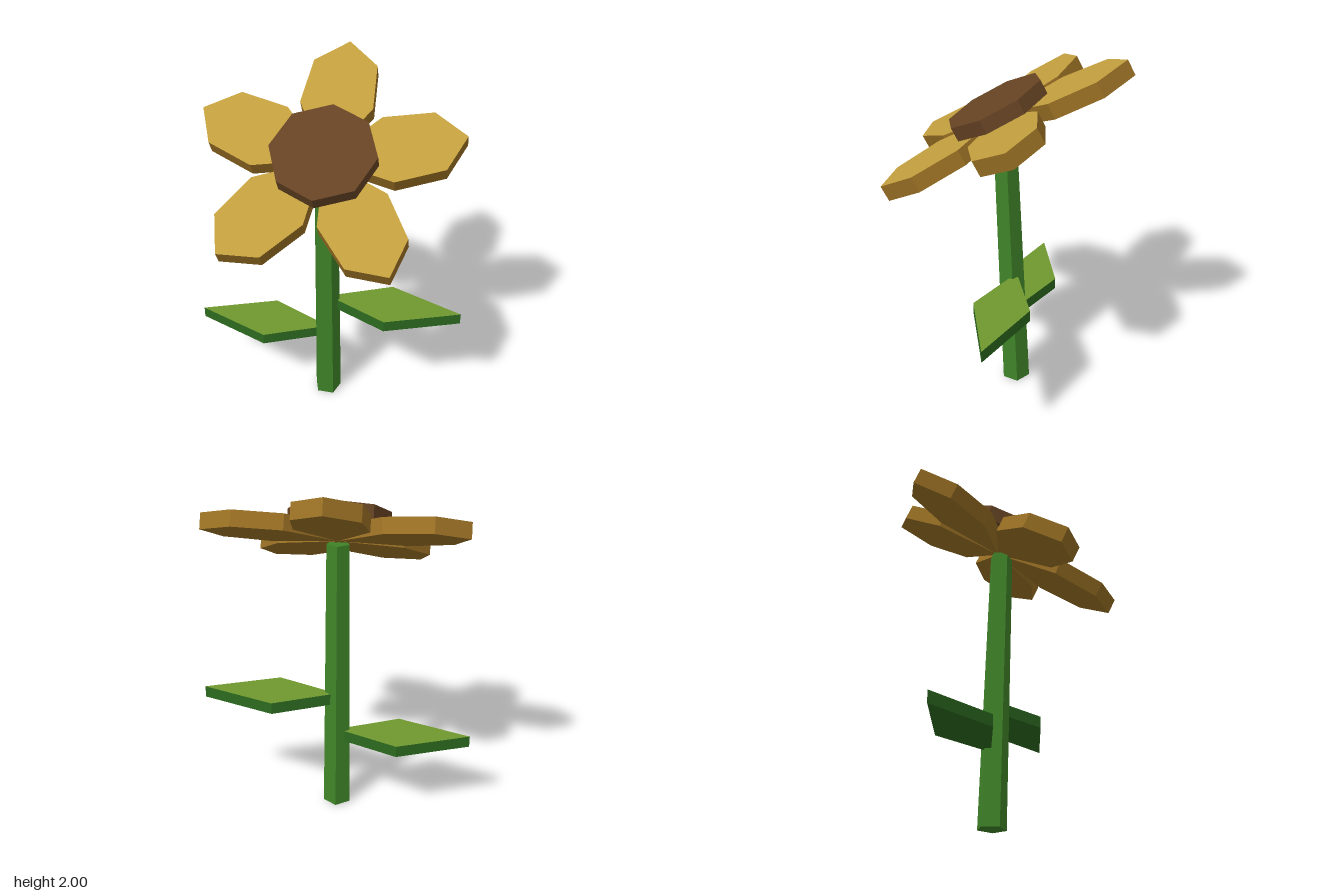
import * as THREE from 'three';

const paint = (color) => new THREE.MeshStandardMaterial({ color, flatShading: true });

// Flat slab lying in the xz plane (shape y points to -z), with its own colour on the top face
function slab(points, thickness) {
  const shape = new THREE.Shape(points.map(([x, y]) => new THREE.Vector2(x, y)));
  const geo = new THREE.ExtrudeGeometry(shape, { depth: thickness, bevelEnabled: false });
  const lids = geo.groups[0].count;
  const total = geo.attributes.position.count;
  geo.clearGroups();
  geo.addGroup(0, lids / 2, 1);            // underside
  geo.addGroup(lids / 2, lids / 2, 0);     // top
  geo.addGroup(lids, total - lids, 1);     // rim
  geo.rotateX(-Math.PI / 2);
  return geo;
}

export function createModel() {
  const model = new THREE.Group();
  model.name = 'flower';

  // Five-sided stem, slightly tapered and leaning forward
  const stem = new THREE.Mesh(
    new THREE.CylinderGeometry(0.064, 0.079, 1.565, 5, 1, false, Math.PI),
    paint(0x3f8428)
  );
  stem.name = 'stem';
  stem.position.set(0, 0.786, 0.034);
  stem.rotation.x = 0.039;
  model.add(stem);

  // Two diamond leaves at different heights
  const leafGeo = slab([[0, 0], [0.345, -0.155], [0.75, 0], [0.345, 0.155]], 0.066);
  const leafPaint = [paint(0x6f982e), paint(0x2c6a20)];
  for (const [name, y, turn] of [['leftLeaf', 0.641, 0], ['rightLeaf', 0.411, Math.PI]]) {
    const leaf = new THREE.Mesh(leafGeo, leafPaint);
    leaf.name = name;
    leaf.position.y = y;
    leaf.rotation.y = turn;
    model.add(leaf);
  }

  // Flower head tilted toward the front
  const head = new THREE.Group();
  head.name = 'flowerHead';
  head.position.set(0, 1.663, 0.085);
  head.rotation.x = THREE.MathUtils.degToRad(28.1);
  model.add(head);

  // Five petals meeting at the centre
  const petalGeo = slab(
    [[0, 0], [0.19, 0.32], [0.168, 0.583], [0, 0.72], [-0.168, 0.583], [-0.19, 0.32]], 0.086
  );
  petalGeo.translate(0, -0.086, 0);
  const petalPaint = [paint(0xc29e3e), paint(0x9a7024)];
  for (let i = 0; i < 5; i++) {
    const petal = new THREE.Mesh(petalGeo, petalPaint);
    petal.name = `petal${i + 1}`;
    petal.rotation.y = (i * Math.PI * 2) / 5;
    head.add(petal);
  }

  // Octagonal seed disc on top of the petals
  const disc = new THREE.Mesh(new THREE.CylinderGeometry(0.275, 0.275, 0.077, 8), paint(0x654323));
  disc.name = 'seedDisc';
  disc.position.y = 0.0385;
  head.add(disc);

  return model;
}
